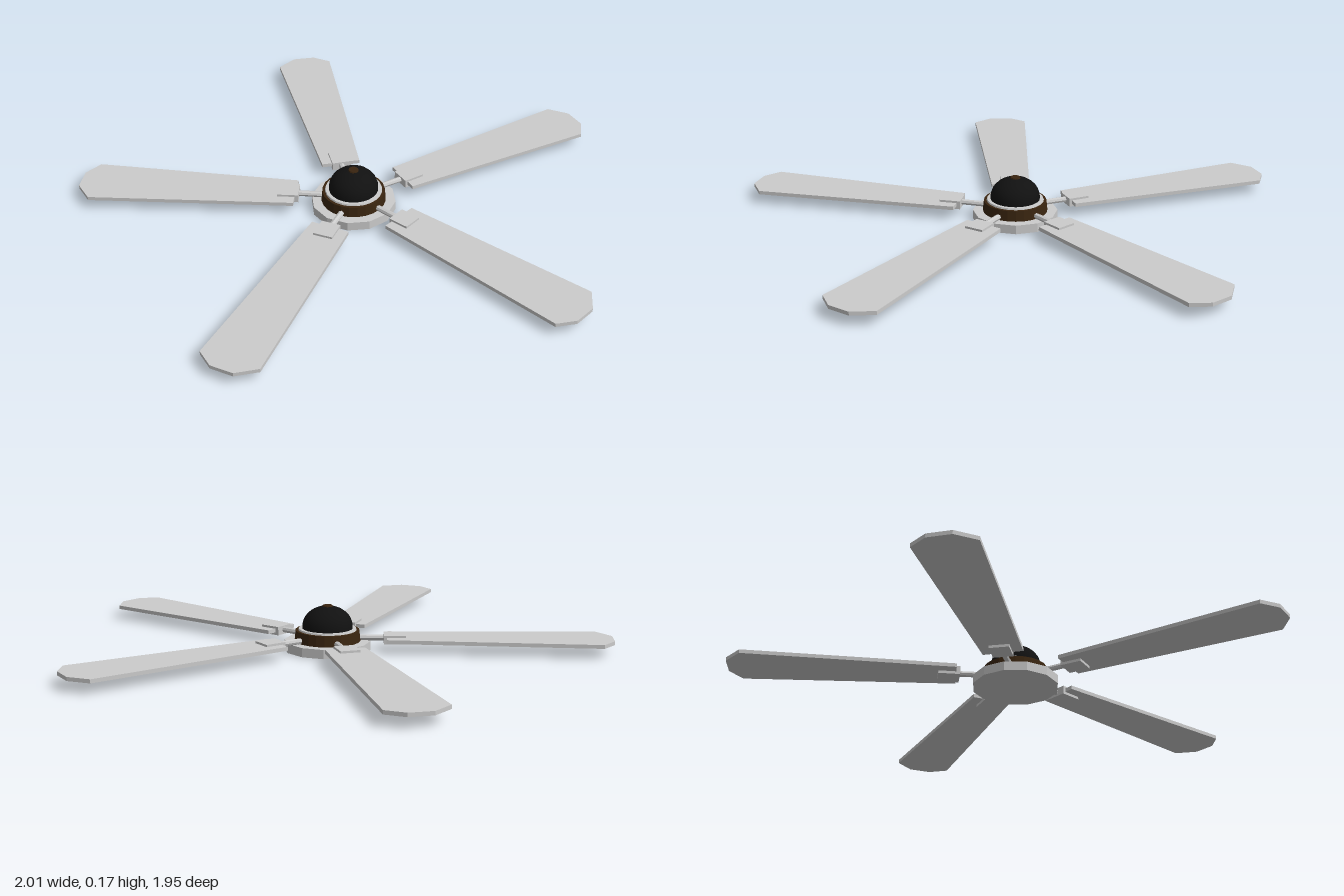
import * as THREE from 'three';

const HUB_Z = -0.083;
const material = (color) => new THREE.MeshStandardMaterial({ color, flatShading: true });
const grey = material(0xcccccc);
const brown = material(0x3a2510);
const black = new THREE.MeshStandardMaterial({ color: 0x111111 });

function add(parent, name, geometry, mat, x = 0, y = 0, z = 0) {
  const mesh = new THREE.Mesh(geometry, mat);
  mesh.name = name;
  mesh.position.set(x, y, z);
  parent.add(mesh);
  return mesh;
}

// Upright cylinder spanning y0..y1
function disc(parent, name, rBottom, rTop, y0, y1, sides, mat) {
  return add(parent, name, new THREE.CylinderGeometry(rTop, rBottom, y1 - y0, sides), mat, 0, (y0 + y1) / 2);
}

// Tapered blade with a clipped tip, lying flat and pointing to +z
function bladeGeometry() {
  const outline = [
    [-0.083, 0.214], [-0.166, 0.99], [-0.107, 1.04],
    [-0.021, 1.048], [0.053, 1.0], [0.064, 0.225],
  ].map(([x, z]) => new THREE.Vector2(x, z));
  const geometry = new THREE.ExtrudeGeometry(new THREE.Shape(outline), { depth: 0.014, bevelEnabled: false });
  return geometry.rotateX(Math.PI / 2).translate(0, 0.052, 0);
}

export function createModel() {
  const fan = new THREE.Group();
  fan.name = 'ceilingFan';
  const hub = new THREE.Group();
  hub.name = 'hub';
  hub.position.z = HUB_Z;
  fan.add(hub);

  // Motor housing, stacked from the bottom plate upwards
  disc(hub, 'bottomPlate', 0.16, 0.16, 0, 0.034, 12, grey);
  disc(hub, 'motorRing', 0.122, 0.118, 0.034, 0.074, 24, brown);
  disc(hub, 'trimRing', 0.108, 0.106, 0.074, 0.08, 24, grey);

  // Dome with a short straight skirt
  const profile = [new THREE.Vector2(0.093, 0.078)];
  for (let i = 0; i <= 8; i++) {
    const a = (i / 8) * Math.PI / 2;
    profile.push(new THREE.Vector2(0.093 * Math.cos(a), 0.088 + 0.075 * Math.sin(a)));
  }
  add(hub, 'dome', new THREE.LatheGeometry(profile, 24), black);
  disc(hub, 'domeCap', 0.021, 0.018, 0.158, 0.166, 12, brown);

  // Five blades, each with its arm and clamp
  const blade = bladeGeometry();
  const rod = new THREE.CylinderGeometry(0.011, 0.011, 0.12, 8).rotateX(Math.PI / 2);
  const clamp = new THREE.BoxGeometry(0.074, 0.032, 0.08);
  for (let i = 0; i < 5; i++) {
    const arm = new THREE.Group();
    arm.name = 'bladeArm' + (i + 1);
    arm.rotation.y = (i * Math.PI * 2) / 5;
    add(arm, 'blade', blade, grey);
    add(arm, 'rod', rod, grey, -0.007, 0.045, 0.16).rotation.y = -0.06;
    add(arm, 'clamp', clamp, grey, -0.012, 0.044, 0.247).rotation.y = -0.03;
    hub.add(arm);
  }
  return fan;
}
